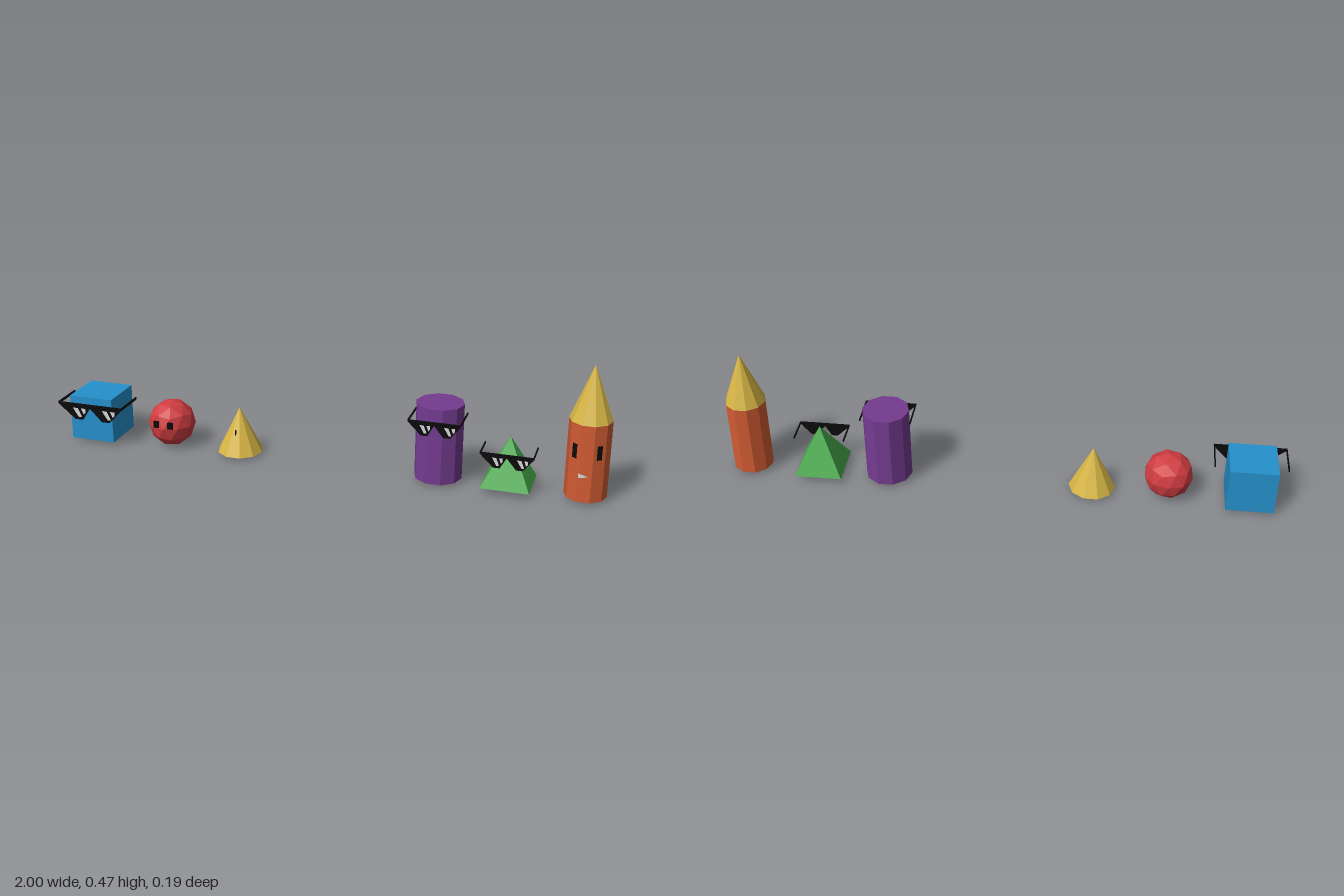
import * as THREE from 'three';

const mat = (name, color, extra = {}) => {
  const m = new THREE.MeshStandardMaterial({ color, flatShading: true, ...extra });
  m.name = name;
  return m;
};

export function createModel() {
  const M = {
    blue: mat('blue', 0x2591cd),
    red: mat('red', 0xcf3c40),
    yellow: mat('yellow', 0xd6b545),
    orange: mat('orange', 0xd05b33),
    purple: mat('purple', 0x743b90),
    green: mat('green', 0x45a848),
    black: mat('black', 0x0a0a0a),
    white: mat('white', 0xd8d8d8, { side: THREE.DoubleSide }),
  };
  const root = new THREE.Group();
  root.name = 'shapeCharacters';
  const Z = -0.0075; // shared centre line of the bodies

  const add = (parent, name, geometry, material, x, y, z) => {
    const mesh = new THREE.Mesh(geometry, material);
    mesh.name = name;
    mesh.position.set(x, y, z);
    parent.add(mesh);
    return mesh;
  };
  const character = (name) => {
    const g = new THREE.Group();
    g.name = name;
    root.add(g);
    return g;
  };
  // Ten-sided solid with corners on the x axis
  const round = (rTop, rBottom, h) => new THREE.CylinderGeometry(rTop, rBottom, h, 10).rotateY(Math.PI / 2);
  const shape = (pts) => new THREE.Shape(pts.map(([x, y]) => new THREE.Vector2(x, y)));

  // Angular sunglasses: thin front, slanted glints, two straight temples
  const glasses = (parent, x0, x1, top, height, zFront) => {
    const g = new THREE.Group();
    g.name = 'sunglasses';
    const w = x1 - x0, s = height / 0.25;
    const front = shape([[0, 0], [0, -0.03], [0.26, -0.25], [0.38, -0.25], [0.5, -0.06],
      [0.68, -0.25], [0.8, -0.25], [1, -0.03], [1, 0]].map(([x, y]) => [x * w, y * s]));
    add(g, 'lenses', new THREE.ExtrudeGeometry(front, { depth: 0.002, bevelEnabled: false }), M.black, x0, top, zFront - 0.002);
    const glints = [
      [[0.23, -0.07], [0.31, -0.07], [0.37, -0.2], [0.32, -0.21]],
      [[0.36, -0.07], [0.43, -0.07], [0.43, -0.13], [0.4, -0.16]],
    ];
    for (const shift of [0, 0.46]) {
      for (const pts of glints) {
        const geo = new THREE.ShapeGeometry(shape(pts.map(([x, y]) => [(x + shift) * w, y * s])));
        add(g, 'glint', geo, M.white, x0, top, zFront + 0.0015);
      }
    }
    const t = w * 0.035, depth = zFront + 0.03;
    for (const x of [x0 + 0.002, x1 - 0.002]) {
      add(g, 'temple', new THREE.BoxGeometry(0.004, t, depth), M.black, x, top - t / 2, zFront - depth / 2);
    }
    parent.add(g);
  };

  // Cube
  const cube = character('cubeCharacter');
  add(cube, 'cubeBody', new THREE.BoxGeometry(0.168, 0.168, 0.168), M.blue, -0.875, 0.095, Z);
  glasses(cube, -1, -0.742, 0.158, 0.063, 0.094);

  // Faceted ball with a corner at each pole
  const ball = character('ballCharacter');
  const ico = new THREE.IcosahedronGeometry(0.087, 1)
    .rotateZ(Math.atan(2 / (1 + Math.sqrt(5)))).rotateY(Math.PI);
  add(ball, 'ballBody', ico, M.red, -0.588, 0.088, Z);
  for (const s of [-1, 1]) {
    add(ball, 'eye', new THREE.BoxGeometry(0.02, 0.024, 0.009), M.black, -0.588 + s * 0.027, 0.104, 0.072);
  }

  // Cone with a tiny edge-on mark
  const cone = character('coneCharacter');
  add(cone, 'coneBody', round(0, 0.083, 0.166), M.yellow, -0.319, 0.094, Z);
  add(cone, 'faceMark', new THREE.BoxGeometry(0.002, 0.018, 0.009), M.black, -0.319, 0.095, 0.035);

  // Cylinder
  const cylinder = character('cylinderCharacter');
  add(cylinder, 'cylinderBody', round(0.084, 0.084, 0.274), M.purple, 0.418, 0.148, Z);
  glasses(cylinder, 0.327, 0.511, 0.248, 0.053, 0.091);

  // Pyramid
  const pyramid = character('pyramidCharacter');
  const pyramidGeo = new THREE.ConeGeometry(0.084 * Math.SQRT2, 0.168, 4).rotateY(Math.PI / 4);
  add(pyramid, 'pyramidBody', pyramidGeo, M.green, 0.664, 0.106, Z);
  glasses(pyramid, 0.573, 0.757, 0.152, 0.052, 0.067);

  // Tall pointed column
  const column = character('pointedColumnCharacter');
  add(column, 'columnBody', round(0.072, 0.072, 0.273), M.orange, 0.924, 0.1485, Z);
  add(column, 'pointedTop', round(0, 0.072, 0.19), M.yellow, 0.924, 0.38, Z);
  for (const s of [-1, 1]) {
    const a = s * Math.PI / 5, r = 0.0685;
    const eye = add(column, 'eye', new THREE.BoxGeometry(0.018, 0.05, 0.003), M.black,
      0.924 + Math.sin(a) * r, 0.19, Z + Math.cos(a) * r);
    eye.rotation.y = a;
  }
  const mouth = new THREE.ShapeGeometry(shape([[-0.022, 0.01], [0.014, 0], [-0.022, -0.006]]));
  add(column, 'mouth', mouth, M.white, 0.924, 0.106, Z + 0.0705);

  return root;
}
